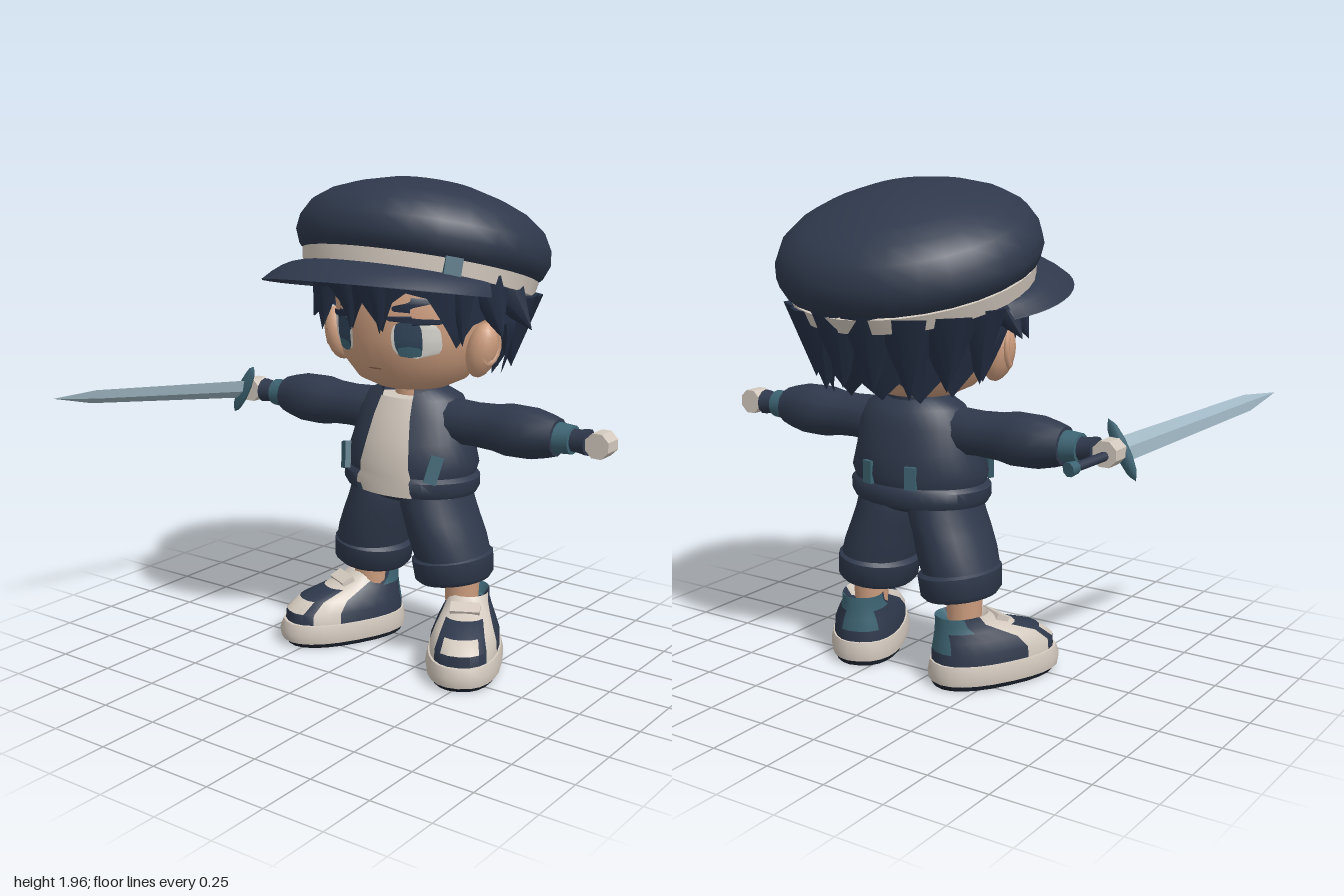
import * as THREE from 'three';
import { toCreasedNormals } from 'three/addons/utils/BufferGeometryUtils.js';
import { ParametricGeometry } from 'three/addons/geometries/ParametricGeometry.js';

const mat = (name, color, side = THREE.FrontSide) => Object.assign(new THREE.MeshStandardMaterial({ color, side }), { name });
const cloth = mat('navy cloth', 0x2f394c, THREE.DoubleSide);
const hairMat = mat('dark hair', 0x253045, THREE.DoubleSide);
const cream = mat('off white', 0xd3c9be);
const skin = mat('skin', 0xcf9f80);
const teal = mat('teal trim', 0x3d6473);
const sole = mat('dark rubber', 0x1b212c);
const steel = mat('blade steel', 0x9db4c0);
const irisMat = mat('iris', 0x31465b);
const eyeWhite = mat('eye white', 0xdddad3);
const lip = mat('mouth', 0x9a6a54);

const D = Math.PI / 180;
const lerp = THREE.MathUtils.lerp;

function add(parent, name, geometry, material, x = 0, y = 0, z = 0) {
  const m = new THREE.Mesh(geometry, material);
  m.name = name;
  m.position.set(x, y, z);
  parent.add(m);
  return m;
}
function group(parent, name, x = 0, y = 0, z = 0) {
  const g = new THREE.Group();
  g.name = name;
  g.position.set(x, y, z);
  parent.add(g);
  return g;
}
// Piecewise linear lookup in [[key, value], ...]
function lookup(table, k) {
  const i = Math.max(1, table.findIndex((p) => p[0] >= k));
  const [a, b] = [table[i - 1], table[i]];
  return lerp(a[1], b[1], THREE.MathUtils.clamp((k - a[0]) / (b[0] - a[0]), 0, 1));
}
// Skin over rings [y, halfWidth, zFront, zBack, xCentre, frontGapHalfWidth]; pick(ring, degrees from front) gives a material index
function loft(rings, { n = 24, power = 1, crease = 0.8, pick } = {}) {
  const pos = [], buckets = [], open = rings[0][5] > 0;
  const s = (t) => Math.sign(t) * Math.abs(t) ** power;
  for (const [y, rx, zf, zb, cx = 0, gap = 0] of rings) {
    const a0 = gap ? Math.asin(gap / rx) : 0;
    for (let j = 0; j <= n; j++) {
      const a = a0 + ((Math.PI - a0) * 2 * j) / n;
      pos.push(cx + rx * s(Math.sin(a)), y, (zf + zb) / 2 + ((zf - zb) / 2) * s(Math.cos(a)));
    }
  }
  for (let i = 0; i < rings.length - 1; i++) for (let j = 0; j < n; j++) {
    const k = (j + 1) % n === 0 && !open ? 0 : j + 1;
    const [a, b, c, d] = [i * (n + 1) + j, i * (n + 1) + k, (i + 1) * (n + 1) + k, (i + 1) * (n + 1) + j];
    const deg = ((j + 0.5) * 360) / n;
    (buckets[pick ? pick(i, Math.min(deg, 360 - deg)) : 0] ??= []).push(a, b, d, b, c, d);
  }
  const g = new THREE.BufferGeometry();
  g.setAttribute('position', new THREE.Float32BufferAttribute(pos, 3));
  g.setIndex(buckets.flat());
  let start = 0;
  if (pick) buckets.forEach((b, i) => { g.addGroup(start, b.length, i); start += b.length; });
  return toCreasedNormals(g, crease);
}
const lathe = (pts, n = 24, crease = 0.7) => toCreasedNormals(new THREE.LatheGeometry(pts.map((p) => new THREE.Vector2(...p)), n), crease);

// Head outline: height, radius
const HEAD = [[1.115, 0.001], [1.12, 0.07], [1.135, 0.15], [1.17, 0.225], [1.25, 0.285], [1.35, 0.31], [1.5, 0.32], [1.65, 0.28], [1.72, 0.001]];
const faceZ = (x, y) => -0.19 + 0.95 * Math.sqrt(Math.max(0, lookup(HEAD, y) ** 2 - x * x));

// Thin rounded plate that follows the face
function facePatch(parent, name, material, cx, cy, w, h, off, slope = 0) {
  const g = new THREE.PlaneGeometry(2, 2, 8, 8), p = g.attributes.position;
  for (let i = 0; i < p.count; i++) {
    const u = p.getX(i), v = p.getY(i);
    const x = cx + (u * w / 2) * Math.cbrt(1 - Math.abs(v) ** 3), y = cy + (v * h) / 2 + slope * u;
    p.setXYZ(i, x, y, faceZ(x, y) + off);
  }
  g.computeVertexNormals();
  add(parent, name, g, material);
}

function buildHead(root) {
  const head = group(root, 'head');
  add(head, 'face', lathe(HEAD.map(([y, r]) => [r, y]), 32, 1), skin, 0, 0, -0.19).scale.z = 0.95;
  add(head, 'neck', new THREE.CylinderGeometry(0.075, 0.08, 0.16, 16), skin, 0, 1.12, -0.2);
  facePatch(head, 'mouth', lip, 0, 1.235, 0.06, 0.007, 0.004);
  for (const s of [-1, 1]) {
    facePatch(head, 'eyeWhite', eyeWhite, s * 0.172, 1.36, 0.16, 0.15, 0.004);
    facePatch(head, 'iris', irisMat, s * 0.152, 1.365, 0.095, 0.15, 0.006);
    facePatch(head, 'irisGlow', teal, s * 0.154, 1.312, 0.08, 0.045, 0.008);
    facePatch(head, 'upperLid', hairMat, s * 0.17, 1.436, 0.19, 0.026, 0.009, s * -0.006);
    facePatch(head, 'eyebrow', hairMat, s * 0.165, 1.495, 0.13, 0.03, 0.009, s * 0.014);
    const ear = add(head, 'ear', new THREE.SphereGeometry(1, 14, 10), skin, s * 0.345, 1.31, -0.155);
    ear.scale.set(0.06, 0.112, 0.065);
    ear.rotation.z = s * -0.25;
    const rim = add(head, 'earRim', new THREE.TorusGeometry(0.04, 0.012, 6, 16), skin, s * 0.385, 1.325, -0.15);
    rim.rotation.set(0, s * 1.2, s * -0.2);
    rim.scale.y = 1.5;
  }
}

// Lower hair edge: degrees from the front, height
const EDGE = [[0, 1.5], [12, 1.39], [20, 1.51], [28, 1.55], [40, 1.53], [60, 1.33], [68, 1.42], [76, 1.44], [92, 1.41], [104, 1.22],
  [112, 1.27], [124, 1.17], [132, 1.24], [144, 1.15], [156, 1.23], [168, 1.16], [180, 1.22]];
function hairRadius(a, y) {
  return lerp(0.31 + (y - 1.3) * 0.3, 0.43 - Math.max(0, 1.4 - y) * 0.35, Math.min(1, (1 - Math.cos(a)) * 0.85));
}
const hairPoint = (a, y, out = 0) => {
  const r = hairRadius(a, y) + out;
  return new THREE.Vector3(r * Math.sin(a), y, -0.2 + 0.97 * r * Math.cos(a));
};
function buildHair(root) {
  const hair = group(root, 'hair');
  add(hair, 'hairShell', new ParametricGeometry((u, v, t) => {
    const a = u * Math.PI * 2, deg = Math.round(Math.min(u, 1 - u) * 360);
    t.copy(hairPoint(a, lerp(1.63, lookup(EDGE, deg), v)));
  }, 90, 8), hairMat);
  const lock = (deg, y0, y1, w, out) => {
    const a = hairPoint(deg * D, y0, -0.05), b = hairPoint(deg * D, y1, out), d = b.clone().sub(a);
    const m = add(hair, 'hairLock', new THREE.ConeGeometry(w, d.length(), 8), hairMat);
    m.position.copy(a).addScaledVector(d, 0.5);
    m.quaternion.setFromUnitVectors(new THREE.Vector3(0, 1, 0), d.normalize());
  };
  for (const s of [-1, 1]) {
    lock(s * 11, 1.6, 1.385, 0.065, 0.02);
    lock(s * 62, 1.56, 1.34, 0.07, 0.02);
    lock(s * 80, 1.57, 1.37, 0.1, 0.07);
    lock(s * 96, 1.55, 1.39, 0.1, 0.09);
    // Broad overlapping locks around the back
    lock(s * 110, 1.5, 1.22, 0.12, 0.03);
    lock(s * 130, 1.48, 1.2, 0.14, 0.04);
    lock(s * 150, 1.48, 1.17, 0.14, 0.04);
    lock(s * 170, 1.48, 1.2, 0.14, 0.04);
  }
}

function buildHat(root) {
  const hat = group(root, 'cap', -0.01, 1.58, -0.24);
  hat.rotation.x = -0.27;
  add(hat, 'capCrown', lathe([[0.44, 0.01], [0.485, 0.035], [0.507, 0.09], [0.5, 0.15], [0.465, 0.215], [0.4, 0.265], [0.31, 0.305], [0.18, 0.345], [0.001, 0.365]], 28, 1), cloth).scale.set(1.03, 1, 0.98);
  add(hat, 'capBand', lathe([[0.4, -0.04], [0.458, -0.04], [0.47, 0.02], [0.44, 0.022]], 36), cream).scale.set(1.03, 1, 0.99);
  // Visor: crescent with an upper and a lower sheet
  const visor = (drop) => new ParametricGeometry((u, v, t) => {
    const a = lerp(-84, 84, u) * D, c = Math.cos(a);
    const r = 0.445 + v * (0.02 + 0.17 * c);
    t.set(r * 1.03 * Math.sin(a), -0.035 - v * v * (0.05 + 0.06 * c) - drop * (1 - v * 0.9), r * Math.cos(a));
  }, 28, 5);
  for (const drop of [0, 0.03]) add(hat, 'capVisor', visor(drop), cloth).rotation.y = -0.27;
  const tab = add(hat, 'capTab', new THREE.BoxGeometry(0.068, 0.07, 0.02), teal, 0.355, -0.008, 0.31);
  tab.rotation.y = 0.84;
}

function buildJacket(root) {
  const jacket = group(root, 'jacket');
  const body = [[0.71, 0.285, 0.03, -0.4], [0.735, 0.3, 0.042, -0.41], [0.775, 0.3, 0.04, -0.41], [0.79, 0.28, 0.025, -0.4], [0.83, 0.292, 0.03, -0.41],
    [0.92, 0.265, 0.005, -0.4], [1.02, 0.245, -0.03, -0.385], [1.09, 0.21, -0.065, -0.36], [1.13, 0.13, -0.09, -0.31]];
  add(jacket, 'jacketBody', loft(body.map((r) => [...r, 0, lerp(0.135, 0.07, (r[0] - 0.71) / 0.42)]), { n: 32 }), cloth);
  // Shirt front; the rest of this layer is the jacket lining
  const shirt = body.slice(0, 8).map(([y, rx, f, b], i) => [y - (i ? 0 : 0.005), rx * 0.95, i < 5 ? 0.012 : f - 0.01, b + 0.02]);
  add(jacket, 'shirt', loft([[0.705, 0.001, -0.18, -0.181], ...shirt, [1.1, 0.001, -0.2, -0.201]], { n: 28, pick: (i, a) => (i > 0 && a < 60 ? 1 : 0) }), [cloth, cream]);
  add(jacket, 'collar', loft([[1.09, 0.15, -0.065, -0.33, 0, 0.075], [1.14, 0.125, -0.075, -0.32, 0, 0.07], [1.165, 0.13, -0.075, -0.33, 0, 0.085], [1.11, 0.1, -0.1, -0.29, 0, 0.06]], { n: 20 }), cloth);
  for (const s of [-1, 1]) {
    const pocket = add(jacket, 'frontPocket', new THREE.BoxGeometry(0.052, 0.11, 0.024), teal, s * 0.214, 0.835, -0.022);
    pocket.rotation.set(-0.15, s * 0.62, s * -0.2);
    add(jacket, 'backTab', new THREE.BoxGeometry(0.045, 0.09, 0.024), teal, s * 0.1, 0.835, -0.393).rotation.y = s * -0.2;
    // Arm runs outward along its own y axis
    const arm = group(jacket, s > 0 ? 'leftArm' : 'rightArm', 0, 1.0, -0.2);
    arm.rotation.z = -s * Math.PI / 2;
    add(arm, 'sleeve', lathe([[0.085, 0.1], [0.095, 0.2], [0.09, 0.3], [0.095, 0.4], [0.106, 0.46], [0.104, 0.55], [0.088, 0.62], [0.074, 0.665], [0.05, 0.668]], 12), cloth);
    add(arm, 'sleeveTrim', lathe([[0.04, 0.655], [0.062, 0.655], [0.056, 0.73], [0.03, 0.735]], 16), teal);
    add(arm, 'wristCuff', lathe([[0.045, 0.715], [0.046, 0.76], [0.052, 0.795], [0.02, 0.8]], 12), cloth);
    const hand = toCreasedNormals(new THREE.CylinderGeometry(0.052, 0.052, 0.08, 8).rotateX(Math.PI / 2), 0.2);
    add(arm, 'glove', hand, cream, 0, 0.847, 0).rotation.z = Math.PI / 8;
  }
}

function buildLegs(root) {
  add(root, 'shortsHips', loft([[0.655, 0.03, -0.1, -0.27], [0.68, 0.12, -0.03, -0.34], [0.705, 0.24, -0.005, -0.375], [0.74, 0.25, 0, -0.38], [0.77, 0.2, -0.03, -0.35]]), cloth);
  for (const s of [-1, 1]) {
    const leg = group(root, s > 0 ? 'leftLeg' : 'rightLeg');
    add(leg, 'shortsLeg', loft([[0.44, 0.15, -0.025, -0.37, s * 0.2], [0.52, 0.15, -0.01, -0.375, s * 0.176], [0.6, 0.143, -0.005, -0.37, s * 0.15], [0.66, 0.14, -0.005, -0.37, s * 0.128], [0.73, 0.125, -0.01, -0.365, s * 0.12]]), cloth);
    // Rolled hem, slightly higher on the outside
    const cuff = add(leg, 'shortsCuff', loft([[-0.04, 0.08, -0.12, -0.29], [-0.06, 0.14, -0.05, -0.36], [-0.04, 0.155, -0.025, -0.38],
      [0.04, 0.16, -0.015, -0.385], [0.06, 0.135, -0.04, -0.36]]), cloth, s * 0.2, 0.4, 0);
    cuff.rotation.z = s * 0.12;
    add(leg, 'shin', new THREE.CylinderGeometry(0.08, 0.066, 0.26, 16), skin, s * 0.23, 0.33, -0.22);
    buildShoe(leg, s);
  }
}

function buildShoe(leg, s) {
  const shoe = group(leg, 'shoe', s * 0.245, 0, -0.25);
  shoe.rotation.y = s * 27 * D;
  const opt = { n: 24, power: 0.85 };
  add(shoe, 'outsole', loft([[0, 0.001, 0.13, 0.129], [0, 0.135, 0.395, -0.125], [0.03, 0.148, 0.415, -0.135]], opt), sole);
  add(shoe, 'midsole', loft([[0.022, 0.15, 0.418, -0.138], [0.06, 0.155, 0.425, -0.142], [0.1, 0.146, 0.41, -0.134], [0.105, 0.1, 0.36, -0.11]], opt), cream);
  // 0 navy, 1 cream, 2 teal
  const pick = (i, a) => {
    if (i >= 3) return a > 105 ? 2 : a < 75 ? 1 : 0;
    if (i > 0 && a > 150) return 2;
    if (i === 1 && a < 30) return 1;
    return a > 45 && a < 75 ? 1 : 0;
  };
  add(shoe, 'shoeUpper', loft([[0.09, 0.14, 0.4, -0.128], [0.145, 0.138, 0.395, -0.126], [0.19, 0.12, 0.335, -0.12], [0.225, 0.1, 0.22, -0.116],
    [0.25, 0.088, 0.14, -0.115], [0.285, 0.084, 0.1, -0.115], [0.25, 0.06, 0.07, -0.08], [0.25, 0.001, 0, -0.001]], { ...opt, pick }), [cloth, cream, teal]);
  const strap = add(shoe, 'shoeStrap', new THREE.BoxGeometry(0.12, 0.025, 0.055), cream, 0, 0.25, 0.145);
  strap.rotation.x = 0.45;
}

function buildSword(root) {
  const sword = group(root, 'sword', -0.857, 0.997, -0.2);
  const y = new THREE.Vector3(-0.29, 0.115, 1.17).normalize();
  const x = new THREE.Vector3(0.5, 0.86, 0);
  x.addScaledVector(y, -x.dot(y)).normalize();
  sword.quaternion.setFromRotationMatrix(new THREE.Matrix4().makeBasis(x, y, x.clone().cross(y)));
  add(sword, 'blade', loft([[0.05, 0.048, 0.017, -0.017], [0.8, 0.034, 0.013, -0.013], [0.98, 0.001, 0.001, -0.001]], { n: 4, crease: 0.1 }), steel);
  add(sword, 'guard', new THREE.SphereGeometry(1, 10, 6), teal, 0, 0.055, 0).scale.set(0.125, 0.02, 0.034);
  add(sword, 'grip', new THREE.CylinderGeometry(0.018, 0.018, 0.26, 8), cloth, 0, -0.08, 0);
  add(sword, 'pommel', new THREE.CylinderGeometry(0.024, 0.028, 0.04, 8), teal, 0, -0.208, 0);
}

export function createModel() {
  const model = new THREE.Group();
  model.name = 'swordBoy';
  const root = group(model, 'figure', 0.1, 0, 0);
  for (const build of [buildHead, buildHair, buildHat, buildJacket, buildLegs, buildSword]) build(root);
  return model;
}
